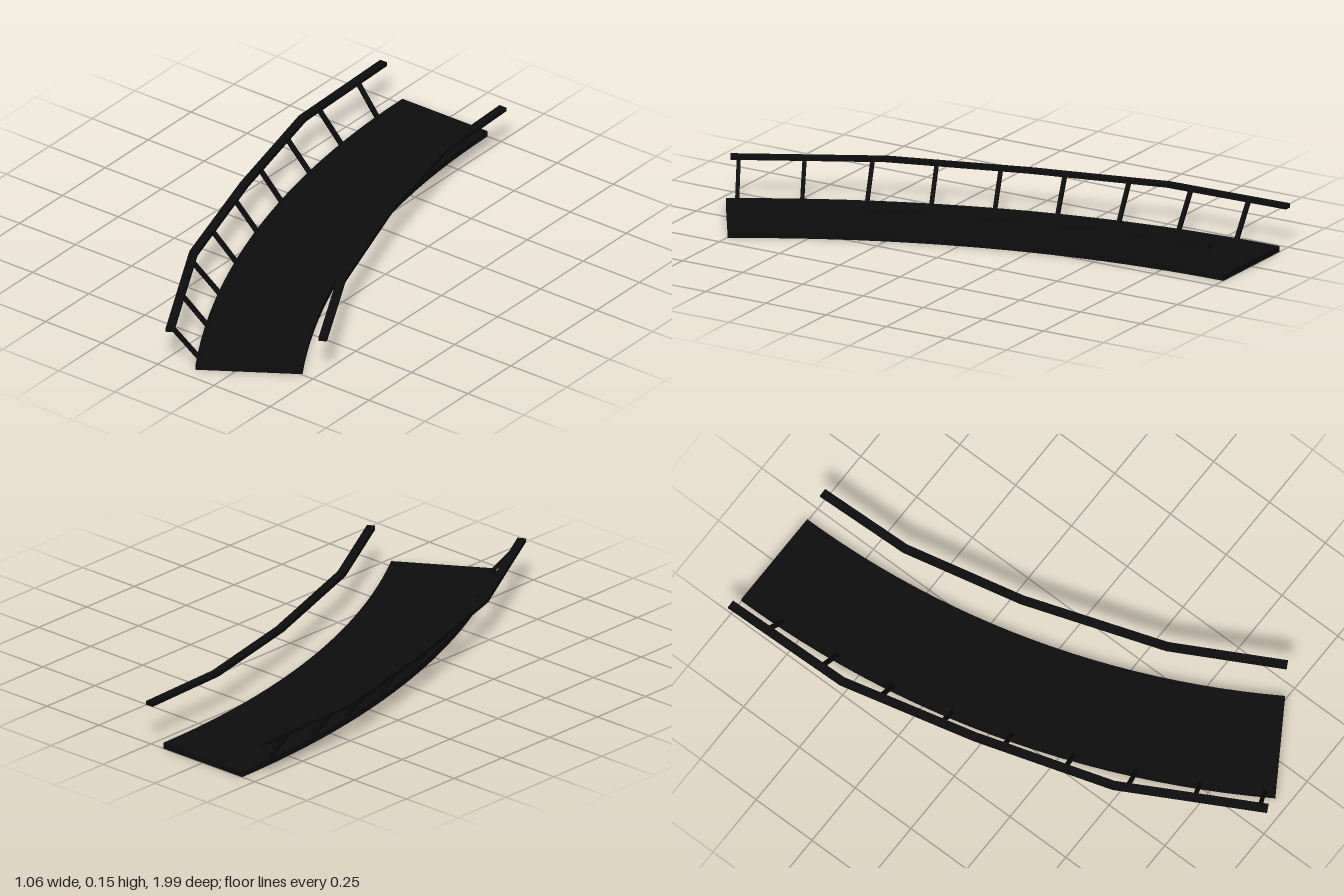
import * as THREE from 'three';

// Arc of the walkway: circle centre and edge radii in plan (x, z)
const CENTRE = [3.18, -1];
const OUTER = 3.62, INNER = 3.24, SWEEP = 0.569;
const onArc = (r, a) => [CENTRE[0] - r * Math.cos(a), CENTRE[1] + r * Math.sin(a)];

// Flat slab from a plan outline of [x, z] points
function slab(outline, y, height) {
  const shape = new THREE.Shape(outline.map(([x, z]) => new THREE.Vector2(x, -z)));
  const geo = new THREE.ExtrudeGeometry(shape, { depth: height, bevelEnabled: false });
  return geo.rotateX(-Math.PI / 2).translate(0, y, 0);
}

// Mitred band of constant width along a plan polyline
function band(path, width) {
  const p = path.map(([x, z]) => new THREE.Vector2(x, z));
  const sides = [[], []];
  p.forEach((pt, i) => {
    const dirA = p[Math.max(i, 1)].clone().sub(p[Math.max(i, 1) - 1]).normalize();
    const k = Math.min(i, p.length - 2);
    const dirB = p[k + 1].clone().sub(p[k]).normalize();
    const t = dirA.clone().add(dirB).normalize();
    const half = width / 2 / t.dot(dirA);
    sides[0].push([pt.x - t.y * half, pt.y + t.x * half]);
    sides[1].push([pt.x + t.y * half, pt.y - t.x * half]);
  });
  return [...sides[0], ...sides[1].reverse()];
}

// x of a polyline at a given z
function xAt(path, z) {
  let i = 0;
  while (i < path.length - 2 && z > path[i + 1][1]) i++;
  const [x0, z0] = path[i], [x1, z1] = path[i + 1];
  return x0 + (x1 - x0) * (z - z0) / (z1 - z0);
}

export function createModel() {
  const group = new THREE.Group();
  const black = new THREE.MeshStandardMaterial({ color: 0x0d0d0d });
  black.name = 'black';
  const add = (geo, name) => {
    const mesh = new THREE.Mesh(geo, black);
    mesh.name = name;
    group.add(mesh);
    return mesh;
  };

  // Curved deck
  const steps = 24, outer = [], inner = [];
  for (let i = 0; i <= steps; i++) {
    const a = SWEEP * i / steps;
    outer.push(onArc(OUTER, a));
    inner.push(onArc(INNER, a));
  }
  add(slab([...outer, ...inner.reverse()], 0, 0.022), 'deck');

  // Handrails
  const rightRail = [[-0.516, -0.99], [-0.503, -0.5], [-0.38, 0], [-0.224, 0.5], [0.042, 0.985]];
  const leftRail = [[0.016, -0.99], [0.029, -0.63], [0.13, -0.185], [0.306, 0.33], [0.512, 0.708]];
  add(slab(band(rightRail, 0.03), 0.139, 0.015), 'rightRail');
  add(slab(band(leftRail, 0.03), 0.139, 0.015), 'leftRail');

  // Slanted posts from the deck's outer edge up to the right rail
  for (let i = 0; i < 9; i++) {
    const a = 0.046 + 0.064 * i;
    const [bx, bz] = onArc(OUTER - 0.022, a);
    const tz = onArc(3.7, a)[1];
    const bottom = new THREE.Vector3(bx, 0.012, bz);
    const top = new THREE.Vector3(xAt(rightRail, tz), 0.146, tz);
    const post = add(new THREE.BoxGeometry(0.014, 0.014, bottom.distanceTo(top)), 'post' + (i + 1));
    post.position.copy(bottom).lerp(top, 0.5);
    post.lookAt(top);
  }
  return group;
}
